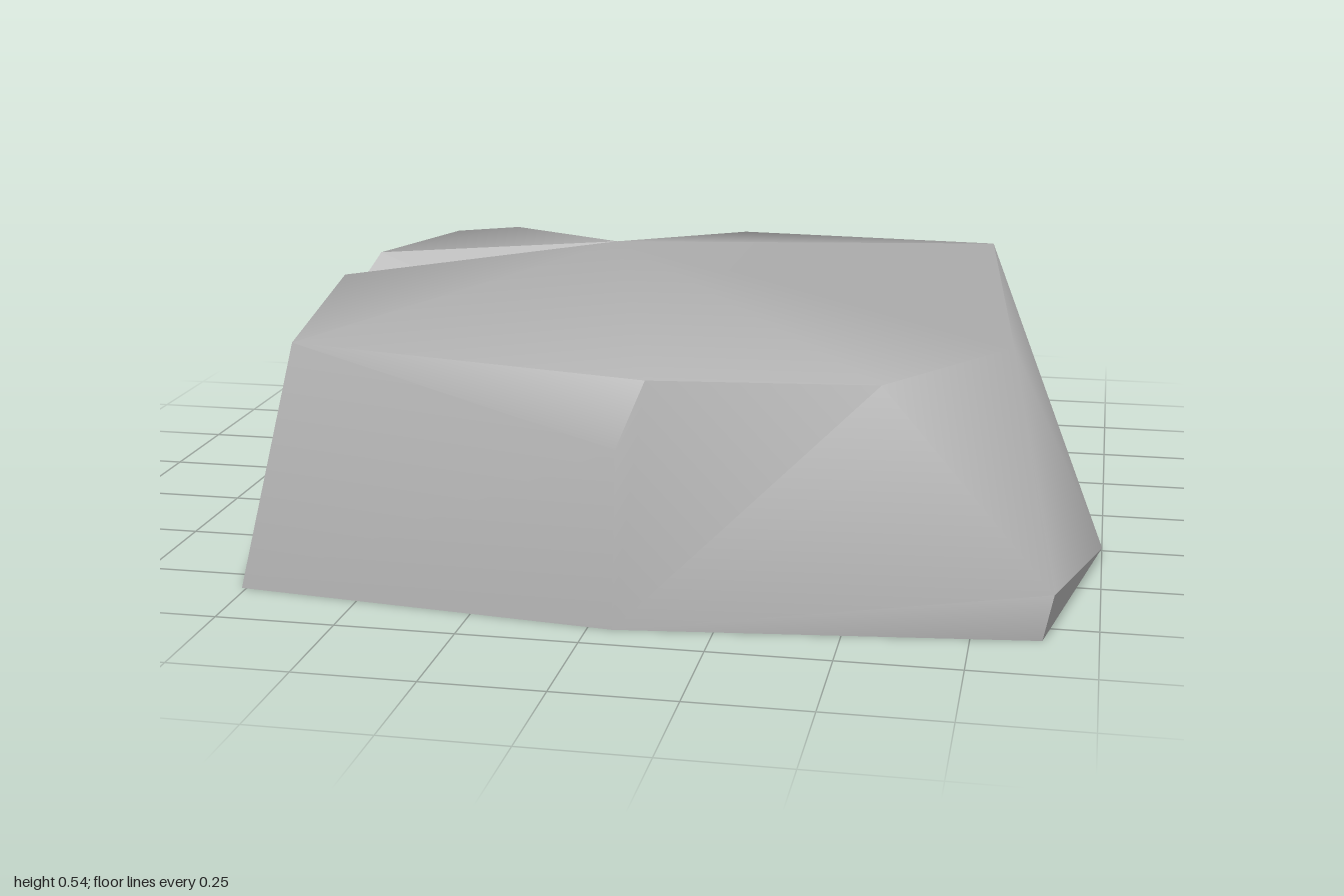
import * as THREE from 'three';
import { toCreasedNormals } from 'three/addons/utils/BufferGeometryUtils.js';

// Corners on the ground, going round from the front
const base = {
  front: [0.05, 0, 0.92], frontLeft: [0.89, 0, 0.82], left: [1, 0.02, 0.29], backLeft: [0.74, 0.03, -0.73],
  back: [-0.1, 0, -0.92], backRight: [-0.78, 0.02, -0.7], right: [-1, 0.02, -0.05], frontRight: [-0.76, 0, 0.83],
};

// Corners of the upper rim, plus the peak and the cleft on the right side
const upper = {
  lip: [0.05, 0.36, 0.88], rimFront: [0.1, 0.49, 0.83], rimFrontLeft: [0.56, 0.49, 0.78], chip: [0.91, 0.1, 0.83],
  rimLeft: [0.8, 0.49, 0.42], rimBackLeft: [0.7, 0.5, -0.64], rimBack: [0.05, 0.49, -0.73],
  peak: [-0.2, 0.54, -0.29], knobBack: [-0.54, 0.5, -0.63], knobSide: [-0.68, 0.5, -0.55],
  knobFront: [-0.79, 0.5, -0.24], cleftFoot: [-0.875, 0.34, -0.1], cleftFloor: [-0.5, 0.4, -0.2],
  ledge: [-0.83, 0.475, -0.08], rimFrontRight: [-0.66, 0.51, 0.74],
};
const points = { ...base, ...upper };

// Builds triangles from corner names; each row is one triangle, anticlockwise from outside
function facets(rows, crease) {
  const position = rows.flatMap((row) => row.split(' ').flatMap((name) => points[name]));
  const geometry = new THREE.BufferGeometry();
  geometry.setAttribute('position', new THREE.Float32BufferAttribute(position, 3));
  geometry.computeVertexNormals();
  return crease ? toCreasedNormals(geometry, crease) : geometry;
}

// Triangles fanned from one corner along a chain of others
const fan = (centre, chain) => chain.slice(1).map((name, i) => `${centre} ${chain[i]} ${name}`);

export function createModel() {
  const group = new THREE.Group();
  group.name = 'rock';
  const stone = new THREE.MeshStandardMaterial({ color: 0xb0b0b0 });
  stone.name = 'grey stone';
  const add = (name, geometry) => {
    const mesh = new THREE.Mesh(geometry, stone);
    mesh.name = name;
    group.add(mesh);
  };

  // Softly worn body: front, left, back and right walls, then the top
  add('weatheredBody', facets([
    ...fan('front', ['frontLeft', 'chip', 'rimFrontLeft', 'rimFront', 'lip', 'frontRight']),
    'lip rimFront rimFrontRight',
    'frontRight lip rimFrontRight',
    'chip left rimLeft',
    'chip rimLeft rimFrontLeft',
    'left rimBackLeft rimLeft',
    'backLeft back rimBack',
    'backLeft rimBack rimBackLeft',
    ...fan('back', ['backRight', 'knobBack', 'peak', 'rimBack']),
    ...fan('backRight', ['right', 'cleftFoot', 'knobFront', 'knobSide', 'knobBack']),
    ...fan('right', ['frontRight', 'rimFrontRight', 'ledge', 'cleftFoot']),
    ...fan('knobFront', ['peak', 'knobBack', 'knobSide']),
    ...fan('peak', ['ledge', 'rimFrontRight', 'rimFront', 'rimFrontLeft', 'rimLeft', 'rimBackLeft', 'rimBack']),
  ], 1.35));

  // Sharp broken facets on the left side
  add('brokenFacets', facets(['left backLeft rimBackLeft', 'frontLeft left chip']));

  // Narrow cleft between the knob and the main top
  add('cleft', facets([
    'knobFront cleftFloor peak',
    'cleftFoot cleftFloor knobFront',
    'ledge peak cleftFloor',
    'cleftFoot ledge cleftFloor',
  ]));

  // Flat underside
  const ring = Object.keys(base).reverse();
  add('underside', facets(fan(ring[0], ring.slice(1))));

  return group;
}
